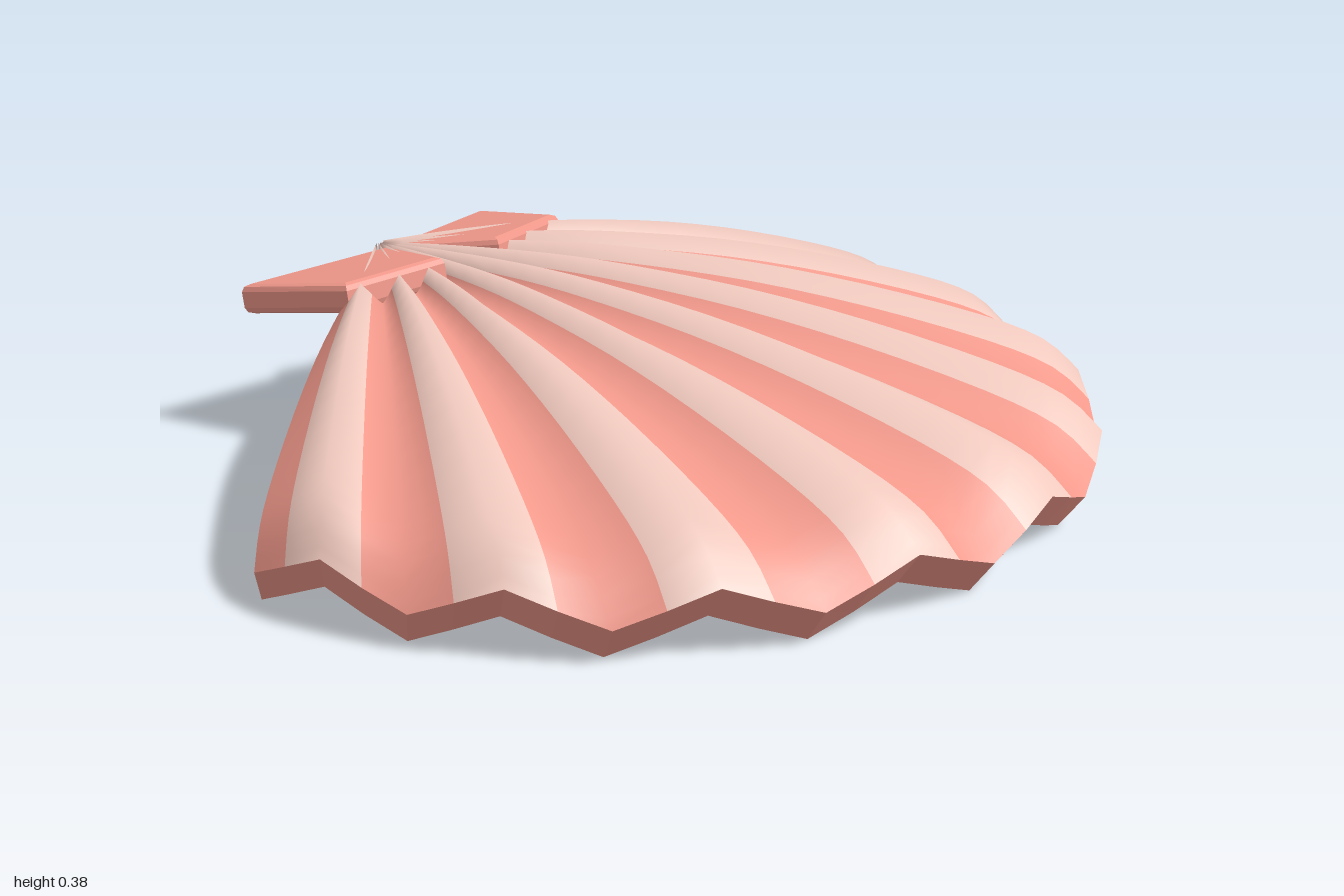
import * as THREE from 'three';

const SEGS = 36;            // four segments per rib, nine ribs
const RINGS = 24;
const APEX_Z = -0.84;
const HALF_FAN = THREE.MathUtils.degToRad(57.8);
const THICK = 0.07;

// Height along a rib crest: x = fraction from beak to rim, y = height
const crest = new THREE.SplineCurve([
  [0.01, 0.355], [0.12, 0.367], [0.26, 0.375], [0.38, 0.37], [0.54, 0.35],
  [0.7, 0.312], [0.86, 0.257], [0.95, 0.208], [1, 0.142],
].map(([x, y]) => new THREE.Vector2(x, y)));

// Point on the shell; drop = 0 for the top skin, 1 for the underside
function shellPoint(i, j, drop) {
  const angle = (i / SEGS * 2 - 1) * HALF_FAN;
  const { x: t, y } = crest.getPoint(j / RINGS);
  // distance from the beak to a round rim of radius 1
  const reach = 0.7 * Math.cos(angle) + Math.sqrt(1 - (0.7 * Math.sin(angle)) ** 2);
  const r = reach * t * (1 - drop * 0.03 * t ** 4);
  const wave = -Math.cos(i * Math.PI / 2);
  const height = y - (0.025 + 0.01 * t) * (1 - wave) - drop * THICK;
  return [r * Math.sin(angle), height, APEX_Z + r * Math.cos(angle)];
}

// Indexed skin with smooth normals
function skin(drop) {
  const positions = [], index = [];
  const id = (i, j) => i * (RINGS + 1) + j;
  for (let i = 0; i <= SEGS; i++)
    for (let j = 0; j <= RINGS; j++) positions.push(...shellPoint(i, j, drop));
  for (let i = 0; i < SEGS; i++)
    for (let j = 0; j < RINGS; j++) {
      const a = id(i, j), b = id(i, j + 1), c = id(i + 1, j + 1), d = id(i + 1, j);
      index.push(...(drop ? [a, d, b, b, d, c] : [a, b, d, b, c, d]));
    }
  const geo = new THREE.BufferGeometry();
  geo.setAttribute('position', new THREE.Float32BufferAttribute(positions, 3));
  geo.setIndex(index);
  geo.computeVertexNormals();
  return geo;
}

// Keep only the fan segments that pass the test
function pickSegments(geo, test) {
  const out = geo.clone();
  const perSegment = RINGS * 6;
  out.setIndex(Array.from(geo.index.array).filter((_, k) => test(Math.floor(k / perSegment))));
  return out;
}

// Flat-shaded wall joining the top skin to the underside all round
function edgeWall() {
  const loop = [], positions = [];
  for (let i = 0; i < SEGS; i++) loop.push([i, 0]);
  for (let j = 0; j < RINGS; j++) loop.push([SEGS, j]);
  for (let i = SEGS; i > 0; i--) loop.push([i, RINGS]);
  for (let j = RINGS; j > 0; j--) loop.push([0, j]);
  loop.forEach((p, k) => {
    const q = loop[(k + 1) % loop.length];
    const a = shellPoint(...p, 0), b = shellPoint(...q, 0);
    const c = shellPoint(...q, 1), d = shellPoint(...p, 1);
    positions.push(...a, ...b, ...d, ...b, ...c, ...d);
  });
  const geo = new THREE.BufferGeometry();
  geo.setAttribute('position', new THREE.Float32BufferAttribute(positions, 3));
  geo.computeVertexNormals();
  return geo;
}

// Bevelled hinge ear, tilted up towards the front
function earGeometry(side) {
  const midZ = -0.72, bevel = 0.015;
  const outline = [[0, -0.8], [0.39, -0.868], [0.35, -0.59], [0.09, -0.55]];
  const shape = new THREE.Shape(outline.map(([x, z]) => new THREE.Vector2(side * x, midZ - z)));
  const geo = new THREE.ExtrudeGeometry(shape, {
    depth: 0.035, bevelThickness: bevel, bevelSize: bevel, bevelOffset: -bevel, bevelSegments: 2,
  });
  geo.translate(0, 0, -0.0175);
  geo.rotateX(-Math.PI / 2 - 0.15);
  geo.translate(0, 0.33, midZ);
  return geo;
}

export function createModel() {
  const group = new THREE.Group();
  group.name = 'scallopShell';
  const coral = new THREE.MeshStandardMaterial({ color: 0xf2998b });
  const pale = new THREE.MeshStandardMaterial({ color: 0xf0c9be });
  const add = (name, geo, mat) => {
    const mesh = new THREE.Mesh(geo, mat);
    mesh.name = name;
    group.add(mesh);
  };

  // Striped top: pale crests, coral grooves
  const top = skin(0);
  const isCrest = (s) => s % 4 === 1 || s % 4 === 2;
  add('ribCrests', pickSegments(top, isCrest), pale);
  add('ribGrooves', pickSegments(top, (s) => !isCrest(s)), coral);

  add('underside', skin(1), coral);
  add('shellEdge', edgeWall(), coral);

  // Hinge ears
  add('leftEar', earGeometry(1), coral);
  add('rightEar', earGeometry(-1), coral);
  return group;
}
